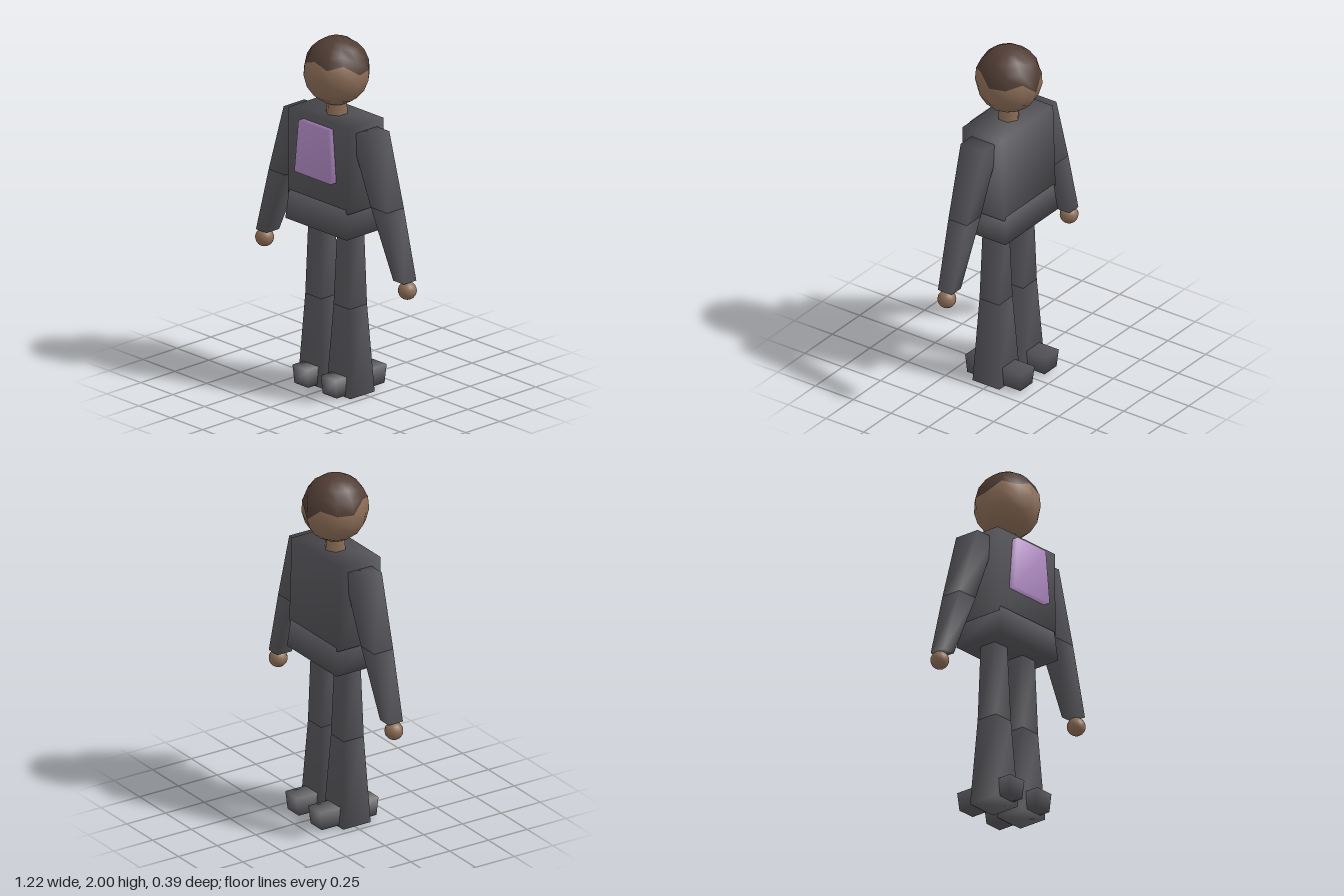
import * as THREE from 'three';
import { mergeVertices } from 'three/addons/utils/BufferGeometryUtils.js';

// Box with different rectangles [x0, x1, z0, z1] at bottom and top, soft-shaded corners
function taperedBox(y0, bottom, y1, top) {
  let geo = new THREE.BoxGeometry(1, 1, 1);
  const p = geo.attributes.position;
  for (let i = 0; i < p.count; i++) {
    const up = p.getY(i) > 0;
    const r = up ? top : bottom;
    p.setXYZ(i, r[p.getX(i) > 0 ? 1 : 0], up ? y1 : y0, r[p.getZ(i) > 0 ? 3 : 2]);
  }
  geo.deleteAttribute('normal');
  geo.deleteAttribute('uv');
  geo = mergeVertices(geo);
  geo.computeVertexNormals();
  return geo;
}

// Hairline height at every 30 degrees, from the front round to the back
const HAIRLINE = [1.897, 1.865, 1.888, 1.828, 1.83, 1.855, 1.78];
const HEAD = { x: 0.182, y: 0.19, z: 0.184, cy: 1.81, cz: 0.012 };

// Part of the head above (hair) or below (face) the hairline
function headPart(isHair, rows) {
  const geo = new THREE.SphereGeometry(1, 12, rows, 0, Math.PI * 2, isHair ? 0 : 0.1, 3);
  const { position: p, normal: n, uv } = geo.attributes;
  const dir = new THREE.Vector3();
  for (let i = 0; i < p.count; i++) {
    const k = Math.round(uv.getX(i) * 12) % 12;
    const v = 1 - uv.getY(i);
    const a = (k / 12) * Math.PI * 2;
    const edge = Math.acos((HAIRLINE[Math.min(k, 12 - k)] - HEAD.cy) / HEAD.y);
    const t = isHair ? v * edge : edge + v * (Math.PI - edge);
    dir.set(Math.sin(a) * Math.sin(t), Math.cos(t), Math.cos(a) * Math.sin(t));
    p.setXYZ(i, dir.x * HEAD.x, HEAD.cy + dir.y * HEAD.y, HEAD.cz + dir.z * HEAD.z);
    n.setXYZ(i, dir.x, dir.y, dir.z);
  }
  return geo;
}

export function createModel() {
  const model = new THREE.Group();
  model.name = 'figure';

  const material = (name, color) => {
    const m = new THREE.MeshStandardMaterial({ color });
    m.name = name;
    return m;
  };
  const grey = material('dark grey cloth', 0x55555a);
  const skin = material('skin', 0x8d6e58);
  const brown = material('brown hair', 0x503c34);
  const purple = material('purple panel', 0xb38cc6);

  const add = (name, geo, mat) => {
    const mesh = new THREE.Mesh(geo, mat);
    mesh.name = name;
    model.add(mesh);
    return mesh;
  };

  // Head and neck
  add('hair', headPart(true, 4), brown);
  add('face', headPart(false, 5), skin);
  add('neck', new THREE.CylinderGeometry(0.056, 0.063, 0.12, 6), skin).position.set(0, 1.6, 0.012);

  // Body
  add('torso', taperedBox(1.077, [-0.235, 0.235, -0.128, 0.15], 1.568, [-0.235, 0.235, -0.112, 0.148]), grey);
  add('hips', taperedBox(0.935, [-0.24, 0.24, -0.14, 0.165], 1.1, [-0.22, 0.22, -0.127, 0.156]), grey);
  add('chestPanel', taperedBox(1.235, [-0.143, 0.143, 0.13, 0.19], 1.535, [-0.115, 0.115, 0.13, 0.186]), purple);

  // Limbs, mirrored left and right
  for (const [side, s] of [['left', 1], ['right', -1]]) {
    const rect = (x0, x1, z0, z1) => (s > 0 ? [x0, x1, z0, z1] : [-x1, -x0, z0, z1]);

    const shoulder = rect(0.185, 0.333, -0.063, 0.09);
    const elbow = rect(0.335, 0.465, -0.046, 0.076);
    const wrist = rect(0.497, 0.58, -0.03, 0.062);
    add(side + 'UpperArm', taperedBox(1.13, elbow, 1.53, shoulder), grey);
    add(side + 'Forearm', taperedBox(0.75, wrist, 1.13, elbow), grey);
    add(side + 'Hand', new THREE.SphereGeometry(0.051, 16, 12), skin).position.set(s * 0.56, 0.7, 0.017);

    const hip = rect(0.063, 0.164, -0.035, 0.065);
    const knee = rect(0.048, 0.174, -0.048, 0.08);
    const ankle = rect(0.016, 0.206, -0.074, 0.103);
    add(side + 'Thigh', taperedBox(0.5, knee, 0.96, hip), grey);
    add(side + 'Shin', taperedBox(0, ankle, 0.5, knee), grey);
    add(side + 'Foot', taperedBox(0.01, rect(0.057, 0.165, -0.185, 0.168),
      0.115, rect(0.052, 0.17, -0.197, 0.178)), grey);
  }
  return model;
}
